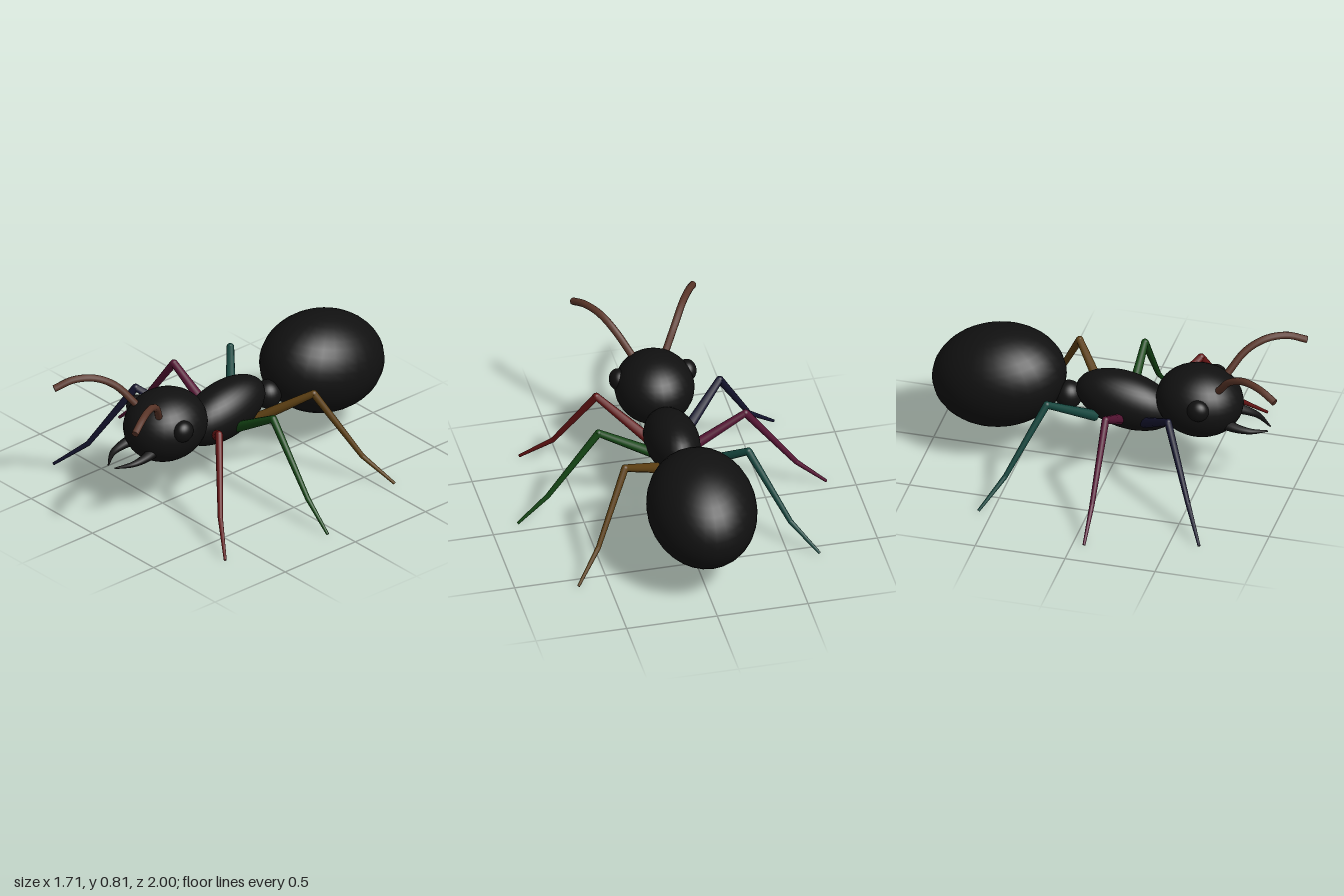
import * as THREE from 'three';

const mat = (name, color) => {
  const m = new THREE.MeshStandardMaterial({ color });
  m.name = name;
  return m;
};

const V = (x, y, z) => new THREE.Vector3(x, y, z);

// Smooth ellipsoid, pitched about x
function ellipsoid(name, material, pos, radii, pitch = 0) {
  const mesh = new THREE.Mesh(new THREE.SphereGeometry(1, 28, 20), material);
  mesh.name = name;
  mesh.position.set(...pos);
  mesh.scale.set(...radii);
  mesh.rotation.x = pitch;
  return mesh;
}

// Tapered cylinder between two points
function limb(name, material, a, b, ra, rb) {
  const mesh = new THREE.Mesh(new THREE.CylinderGeometry(rb, ra, a.distanceTo(b), 10), material);
  mesh.name = name;
  mesh.position.copy(a).lerp(b, 0.5);
  mesh.quaternion.setFromUnitVectors(V(0, 1, 0), b.clone().sub(a).normalize());
  return mesh;
}

// Curved tube whose radius follows radiusAt(t), closed at both ends
function horn(name, material, points, radiusAt) {
  const group = new THREE.Group();
  group.name = name;
  const curve = new THREE.CatmullRomCurve3(points);
  const steps = 20, sides = 10;
  const geo = new THREE.TubeGeometry(curve, steps, 1, sides);
  const p = geo.attributes.position, v = V(0, 0, 0);
  for (let i = 0; i < p.count; i++) {
    const t = Math.floor(i / (sides + 1)) / steps;
    const c = curve.getPointAt(t);
    v.fromBufferAttribute(p, i).sub(c).multiplyScalar(radiusAt(t)).add(c);
    p.setXYZ(i, v.x, v.y, v.z);
  }
  geo.computeBoundingSphere();
  group.add(new THREE.Mesh(geo, material));
  for (const t of [0, 1]) {
    const cap = new THREE.Mesh(new THREE.CircleGeometry(radiusAt(t), sides), material);
    cap.position.copy(curve.getPointAt(t));
    cap.lookAt(cap.position.clone().add(curve.getTangentAt(t).multiplyScalar(t ? 1 : -1)));
    group.add(cap);
  }
  return group;
}

// Three-segment leg with a rounded knee and ankle
function leg(name, material, points) {
  const group = new THREE.Group();
  group.name = name;
  const [hip, knee, ankle, foot] = points;
  group.add(
    limb('femur', material, hip, knee, 0.03, 0.02),
    limb('tibia', material, knee, ankle, 0.021, 0.014),
    limb('tarsus', material, ankle, foot, 0.014, 0.008),
    ellipsoid('kneeJoint', material, knee.toArray(), [0.02, 0.02, 0.02]),
    ellipsoid('ankleJoint', material, ankle.toArray(), [0.014, 0.014, 0.014])
  );
  return group;
}

export function createModel() {
  const ant = new THREE.Group();
  ant.name = 'ant';
  const black = mat('shell black', 0x111111);
  const brown = mat('antenna brown', 0x5a3528);

  // Body segments
  ant.add(
    ellipsoid('abdomen', black, [0, 0.465, -0.635], [0.295, 0.28, 0.37], -0.2),
    ellipsoid('waist', black, [0, 0.4, -0.25], [0.075, 0.08, 0.075]),
    ellipsoid('thorax', black, [0, 0.42, 0.07], [0.145, 0.155, 0.28], 0.22),
    ellipsoid('head', black, [0, 0.487, 0.48], [0.215, 0.195, 0.238], 0.08)
  );

  // Paired head parts
  for (const s of [1, -1]) {
    const side = s > 0 ? 'left' : 'right';
    ant.add(
      ellipsoid(side + 'Eye', black, [s * 0.19, 0.535, 0.52], [0.05, 0.06, 0.06]),
      horn(side + 'Mandible', black,
        [V(s * 0.085, 0.415, 0.63), V(s * 0.095, 0.4, 0.7), V(s * 0.085, 0.385, 0.78), V(s * 0.025, 0.365, 0.865)],
        t => 0.004 + 0.031 * (1 - t)),
      horn(side + 'Antenna', brown,
        [V(s * 0.095, 0.62, 0.61), V(s * 0.165, 0.73, 0.69), V(s * 0.225, 0.785, 0.785),
          V(s * 0.285, 0.788, 0.89), V(s * 0.33, 0.75, 0.985)],
        () => 0.02)
    );
  }

  // Leg rows: hip, knee, ankle, foot on the +x side, with a colour per side
  const rows = [
    ['front', 0x641414, 0x14142e, [[0.1, 0.355, 0.2], [0.34, 0.535, 0.395], [0.54, 0.165, 0.56], [0.7, 0.012, 0.665]]],
    ['middle', 0x144614, 0x551433, [[0.1, 0.355, 0.065], [0.405, 0.535, 0.065], [0.685, 0.165, 0.065], [0.85, 0.012, 0.065]]],
    ['rear', 0x5c3f12, 0x14463e, [[0.1, 0.355, -0.075], [0.34, 0.535, -0.28], [0.53, 0.165, -0.46], [0.665, 0.012, -0.572]]]
  ];
  for (const [row, leftColor, rightColor, pts] of rows) {
    for (const s of [1, -1]) {
      const side = s > 0 ? 'Left' : 'Right';
      const material = mat(row + side + ' leg colour', s > 0 ? leftColor : rightColor);
      ant.add(leg(row + side + 'Leg', material, pts.map(([x, y, z]) => V(s * x, y, z))));
    }
  }
  return ant;
}
